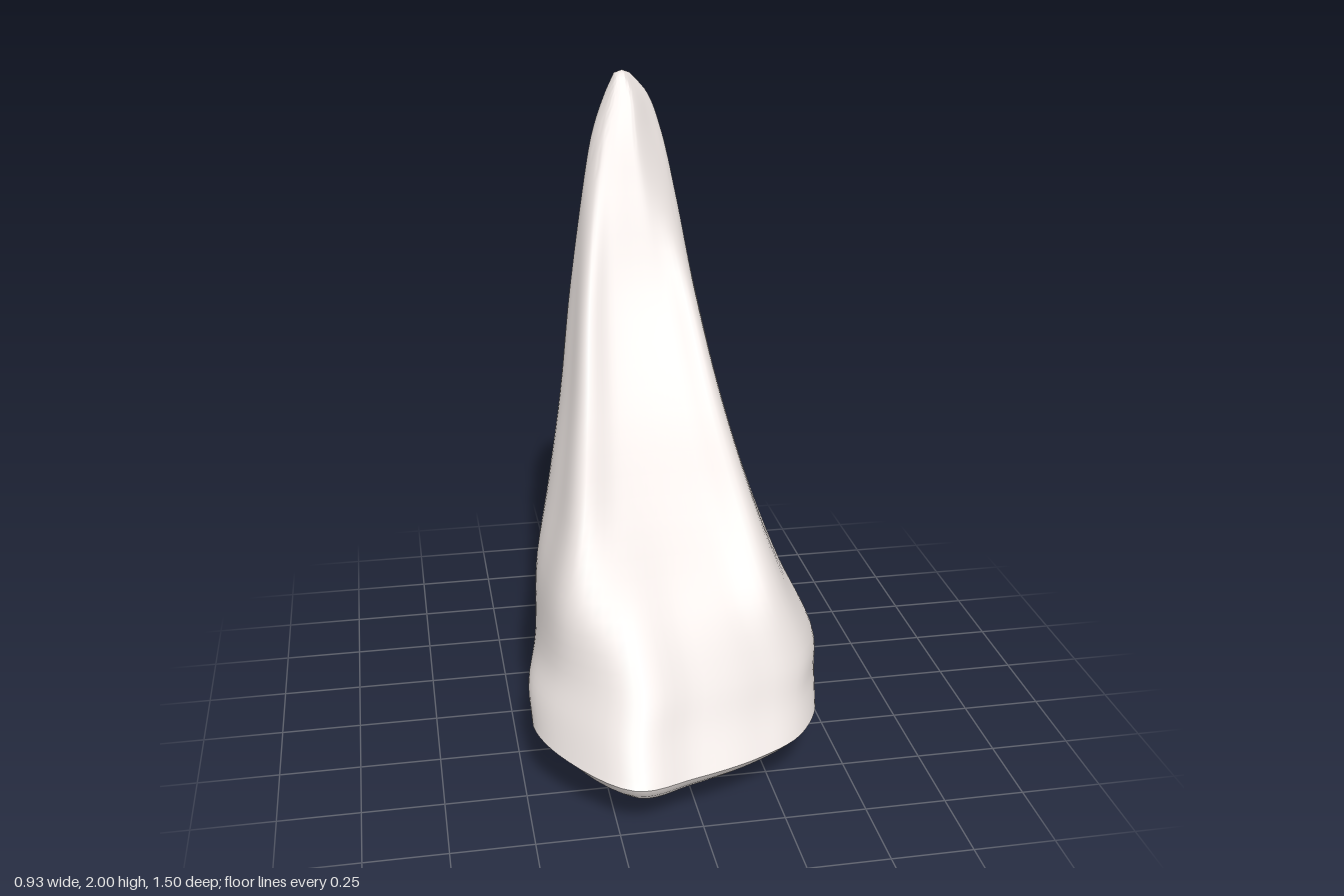
import * as THREE from 'three';
import { toCreasedNormals } from 'three/addons/utils/BufferGeometryUtils.js';

// Outlines as [across -1..1, back 0 .. front 1], from the front round by +x
const LOWER = [[0, 0.92], [0.45, 0.81], [0.8, 0.66], [1, 0.36], [0.9, 0.17], [0.45, 0.03],
  [0, 0], [-0.45, 0.02], [-0.88, 0.12], [-1, 0.3], [-0.87, 0.63], [-0.42, 1]];
const MIDDLE = [[0, 0.92], [0.45, 0.93], [0.86, 0.96], [0.98, 0.62], [0.99, 0.25], [0.62, 0.03],
  [0, 0], [-0.62, 0.03], [-0.99, 0.25], [-0.97, 0.66], [-0.84, 1], [-0.45, 0.94]];
const TIP = [[-0.1, 1], [0.2, 0.98], [0.7, 0.6], [1, 0.3], [0.82, 0.06], [0.4, 0],
  [0, 0], [-0.4, 0.02], [-0.85, 0.12], [-1, 0.42], [-0.8, 0.85], [-0.45, 0.97]];

// Cross-sections: height, right x, left x, front z, back z, lift of the side corners
const SECTIONS = [
  [0.14, -0.465, 0.43, 0.75, 0.2, 0.035],
  [0.24, -0.465, 0.45, 0.665, 0.07, 0.02],
  [0.35, -0.435, 0.465, 0.58, -0.05, 0],
  [0.54, -0.405, 0.38, 0.425, -0.2, 0],
  [0.75, -0.335, 0.31, 0.18, -0.345, 0],
  [1.0, -0.27, 0.255, -0.1, -0.465, 0],
  [1.3, -0.215, 0.205, -0.34, -0.575, 0],
  [1.6, -0.16, 0.165, -0.505, -0.665, 0],
  [1.8, -0.11, 0.13, -0.605, -0.72, 0],
  [1.92, -0.06, 0.09, -0.67, -0.75, 0],
  [1.99, -0.025, 0.03, -0.71, -0.74, 0],
];
const APEX = new THREE.Vector3(-0.05, 0, 0.41);
const AROUND = 72;
const ALONG = 48;

// One control point of a cross-section, blending the three outlines by height
function controlPoint([y, xMin, xMax, zFront, zBack, lift], column) {
  const low = 1 - THREE.MathUtils.smoothstep(y, 0.1, 0.85);
  const high = THREE.MathUtils.smoothstep(y, 1.3, 1.85);
  const mix = (k) => LOWER[column][k] * low + TIP[column][k] * high + MIDDLE[column][k] * (1 - low - high);
  const u = mix(0);
  const v = mix(1);
  const x = (xMin + xMax) / 2 + u * (xMax - xMin) / 2;
  return new THREE.Vector3(x, y + lift * u * u, zBack + v * (zFront - zBack));
}

function hornGeometry() {
  // Smooth lengthwise curves, one for each outline point
  const columns = MIDDLE.map((_, c) =>
    new THREE.CatmullRomCurve3(SECTIONS.map((s) => controlPoint(s, c))));
  const rings = [];
  for (let i = 0; i <= ALONG; i++) {
    const loop = new THREE.CatmullRomCurve3(columns.map((c) => c.getPoint(i / ALONG)), true);
    rings.push(loop.getPoints(AROUND).slice(0, AROUND));
  }

  // Blunt root: the lowest ring shrinks to the apex, fuller at the front
  const rim = rings[0];
  for (const f of [0.85, 0.65, 0.42, 0.2]) {
    rings.unshift(rim.map((q) => {
      const front = Math.max(0, q.z - APEX.z) / 0.34;
      const spread = f + f * (1 - f) * (0.2 + 0.85 * front);
      return new THREE.Vector3(
        APEX.x + (q.x - APEX.x) * spread, q.y * f, APEX.z + (q.z - APEX.z) * spread);
    }));
  }

  const points = [...rings.flat(), APEX, new THREE.Vector3(0.003, 2, -0.727)];
  const bottom = points.length - 2;
  const top = points.length - 1;
  const last = (rings.length - 1) * AROUND;
  const index = [];
  for (let j = 0; j < AROUND; j++) {
    const k = (j + 1) % AROUND;
    for (let r = 0; r < last; r += AROUND) {
      index.push(r + j, r + k, r + AROUND + k, r + j, r + AROUND + k, r + AROUND + j);
    }
    index.push(k, j, bottom, last + j, last + k, top);
  }
  const geometry = new THREE.BufferGeometry().setFromPoints(points);
  geometry.setIndex(index);
  return toCreasedNormals(geometry, 0.8);
}

export function createModel() {
  const paleStone = new THREE.MeshStandardMaterial({ color: 0xe3dcd9 });
  paleStone.name = 'paleStone';

  const horn = new THREE.Mesh(hornGeometry(), paleStone);
  horn.name = 'curvedHorn';

  const model = new THREE.Group();
  model.name = 'horn';
  model.add(horn);
  return model;
}
